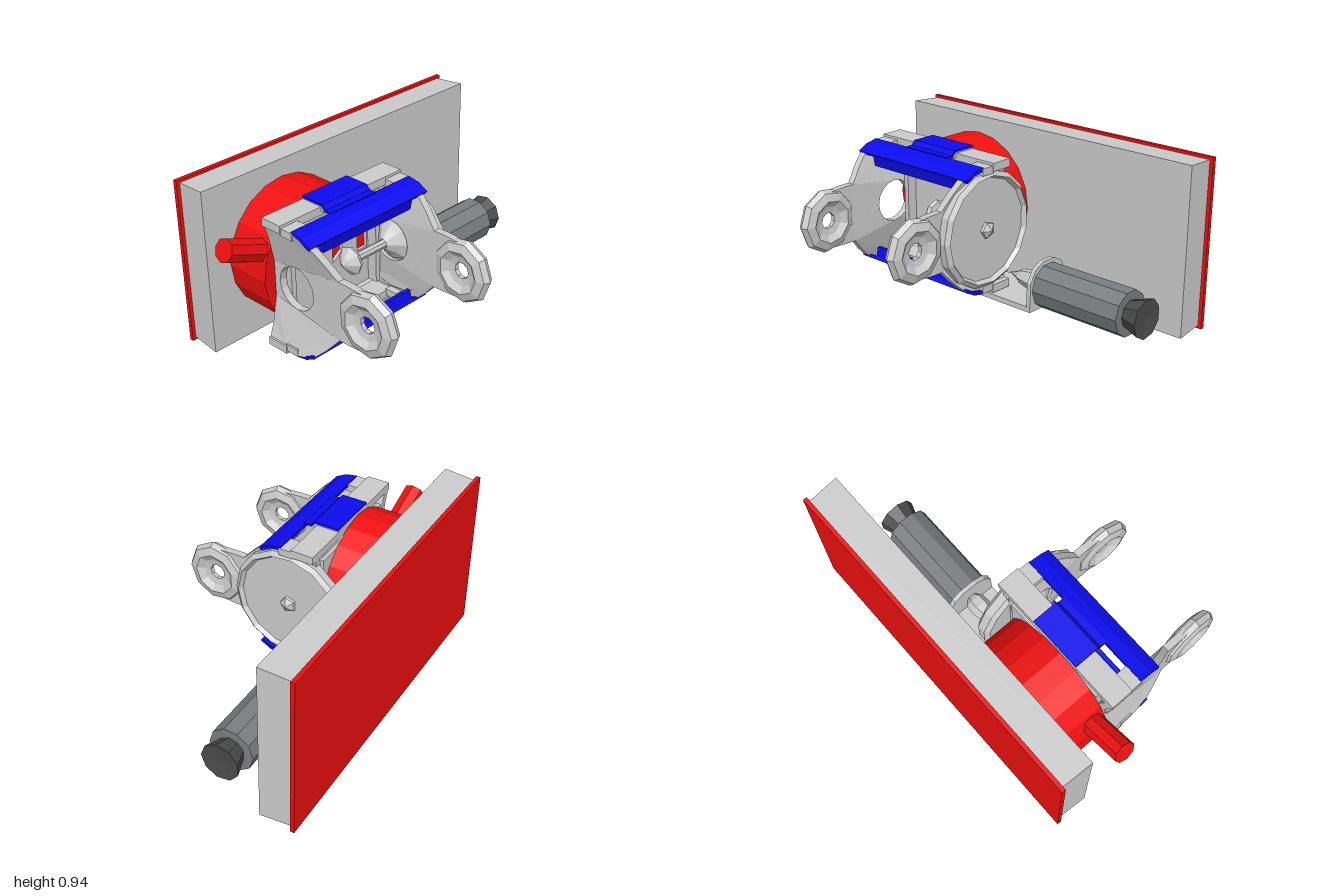
import * as THREE from 'three';

const material = (color) => new THREE.MeshStandardMaterial({ color, flatShading: true, side: THREE.DoubleSide });

export function createModel() {
  const model = new THREE.Group();
  const grey = material(0xcccccc), red = material(0xf01010), blue = material(0x0c0cf0);
  const dark = material(0x7a7e7e), darker = material(0x4c4c4c);
  const midY = 0.475, midX = -0.375;

  const add = (name, geometry, mat, x = 0, y = 0, z = 0, parent = model) => {
    const mesh = new THREE.Mesh(geometry, mat);
    mesh.name = name;
    mesh.position.set(x, y, z);
    parent.add(mesh);
    return mesh;
  };
  // Box given by its limits on each axis
  const box = (name, mat, [x0, x1], [y0, y1], [z0, z1], parent = model) =>
    add(name, new THREE.BoxGeometry(x1 - x0, y1 - y0, z1 - z0), mat,
      (x0 + x1) / 2, (y0 + y1) / 2, (z0 + z1) / 2, parent);
  const shapeOf = (points) => new THREE.Shape(points.map(([a, b]) => new THREE.Vector2(a, b)));
  // Outline in (z, y), extruded along x from x0 to x1
  const extrudeX = (shape, x0, x1) => {
    const g = new THREE.ExtrudeGeometry(shape, { depth: x1 - x0, bevelEnabled: false, curveSegments: 8 });
    return g.rotateY(-Math.PI / 2).translate(x1, 0, 0);
  };
  // Profile of (radius, x) turned around the x axis
  const latheX = (points, sides) =>
    new THREE.LatheGeometry(points.map(([r, x]) => new THREE.Vector2(r, x)), sides).rotateZ(-Math.PI / 2);

  // Back board, and a slab that narrows slightly towards it
  box('backBoard', red, [-0.95, 1.0], [0, 0.94], [-0.64, -0.617]);
  const slab = box('slab', grey, [-0.94, 0.99], [0.005, 0.937], [-0.617, -0.44]).geometry;
  const corner = slab.attributes.position;
  for (let i = 0; i < corner.count; i++)
    if (corner.getZ(i) < 0) corner.setXY(i, corner.getX(i) * 0.99, corner.getY(i) * 0.975);

  // Turntable drum with its grey face plate, open in the middle
  add('drum', new THREE.CylinderGeometry(0.37, 0.37, 0.26, 20).rotateX(Math.PI / 2), red, -0.425, 0.471, -0.31);
  const face = shapeOf([[-0.69, 0.19], [-0.06, 0.19], [-0.06, 0.76], [-0.69, 0.76]]);
  for (const hole of [
    [[-0.35, 0.4], [-0.28, 0.45], [-0.28, 0.54], [-0.35, 0.55]],
    [[-0.17, 0.4], [-0.1, 0.4], [-0.1, 0.55], [-0.17, 0.54]],
    [[-0.27, 0.57], [-0.21, 0.63], [-0.24, 0.63]],
  ]) face.holes.push(shapeOf(hole));
  add('facePlate', new THREE.ExtrudeGeometry(face, { depth: 0.02, bevelEnabled: false }), grey, 0, 0, -0.18);

  // Lever stub on the right
  const lever = add('lever', new THREE.CylinderGeometry(0.063, 0.063, 0.25, 8), red, -0.86, 0.657, -0.25);
  lever.rotation.z = Math.PI / 2 - 0.38;

  // Rails above and below the frame: the lower set is the upper one turned over
  for (const turn of [0, Math.PI]) {
    const rail = new THREE.Group();
    rail.name = turn ? 'lowerRail' : 'upperRail';
    rail.position.set(midX, midY, 0);
    rail.rotation.z = turn;
    model.add(rail);
    box('railBar', grey, [-0.42, 0.42], [0.32, 0.365], [-0.175, -0.045], rail);
    box('railBlock', grey, [-0.15, 0.15], [0.34, 0.376], [-0.175, -0.025], rail);
    for (const side of [-1, 1])
      box('railEnd', grey, [side * 0.36 - 0.055, side * 0.36 + 0.055], [0.31, 0.35], [-0.05, 0.03], rail);
    const cap = shapeOf([[-0.175, 0.375], [-0.03, 0.375], [-0.01, 0.352], [0.03, 0.35],
      [0.03, 0.34], [-0.015, 0.34], [-0.035, 0.365], [-0.175, 0.365]]);
    add('railCap', extrudeX(cap, -0.155, 0.155), blue, 0, 0.008, 0, rail);
    const guard = shapeOf([[0.02, 0.355], [0.09, 0.342], [0.15, 0.31], [0.14, 0.295], [0.08, 0.326], [0.02, 0.335]]);
    add('guard', extrudeX(guard, -0.41, 0.41), blue, 0, 0, 0, rail);
    const lip = shapeOf([[0.02, 0.335], [0.14, 0.295], [0.13, 0.24], [0.11, 0.24]]);
    add('guardLip', extrudeX(lip, -0.305, 0.305), blue, 0, 0, 0, rail);
  }

  // Side plates, each ending in a ringed ear at the front
  const upperEdge = [[-0.175, 0.1], [-0.175, 0.24], [-0.175, 0.32], [-0.05, 0.34], [0.03, 0.345], [0.14, 0.31],
    [0.21, 0.245], [0.28, 0.165], [0.34, 0.165], [0.43, 0.16], [0.37, 0.07]];
  const outline = [...upperEdge, ...upperEdge.map(([z, y]) => [z, -y]).reverse()];
  const earProfile = [[0.045, -0.012], [0.085, -0.02], [0.12, -0.045], [0.165, -0.03], [0.182, 0],
    [0.165, 0.03], [0.12, 0.045], [0.085, 0.02], [0.045, 0.012], [0.045, -0.012]];
  for (const side of [-1, 1]) {
    const plate = new THREE.Group();
    plate.name = side < 0 ? 'rightSide' : 'leftSide';
    plate.position.set(midX, midY, 0);
    model.add(plate);
    const panel = shapeOf(outline);
    const opening = new THREE.Path();
    opening.absarc(-0.02, 0, 0.12, 0, Math.PI * 2);
    panel.holes.push(opening);
    const geometry = extrudeX(panel, -0.02, 0.02);
    // Flare the upper and lower edges outwards, less on the wheel side
    const p = geometry.attributes.position;
    const flare = side < 0 ? 0.06 : 0.035;
    for (let i = 0; i < p.count; i++) {
      const t = Math.min(1, Math.max(0, (Math.abs(p.getY(i)) - 0.15) / 0.19));
      p.setX(i, p.getX(i) + side * (0.335 + flare * t));
    }
    geometry.computeVertexNormals();
    add('sidePanel', geometry, grey, 0, 0, 0, plate);
    add('ear', latheX(earProfile, 9), grey, side * 0.338, 0, 0.46, plate).rotation.y = side * -0.03;
    // Inner strip beside the opening
    box('innerStrip', grey, [side * 0.3 - 0.015, side * 0.3 + 0.015], [-0.28, 0.28], [-0.17, -0.1], plate);
  }

  // Dished wheel with a hub and an axle
  const wheel = new THREE.Group();
  wheel.name = 'wheel';
  wheel.position.set(0, midY, -0.02);
  model.add(wheel);
  add('wheelDish', latheX([[0, -0.04], [0.3, -0.04], [0.325, -0.02], [0.325, 0.025], [0.3, 0.045], [0.285, 0.02], [0, 0.02]], 15),
    grey, 0, 0, 0, wheel);
  add('hub', latheX([[0.05, 0.01], [0.045, 0.035], [0, 0.06]], 5), grey, 0, 0, 0, wheel);
  add('axle', latheX([[0.025, -0.36], [0.025, 0]], 8), grey, 0, 0, 0, wheel);
  add('axleFlange', latheX([[0, -0.42], [0.035, -0.4], [0.08, -0.36], [0.07, -0.34], [0.025, -0.33]], 8), grey, 0, 0, 0, wheel);
  add('innerCone', latheX([[0.03, -0.12], [0.08, -0.07], [0.12, -0.04]], 8), grey, 0, 0, 0, wheel);
  add('looseNut', new THREE.OctahedronGeometry(0.035), grey, -0.48, 0.355, -0.13);

  // Motor bracket: base plate and arched upright
  box('bracketBase', grey, [-0.2, 0.305], [0.07, 0.1], [-0.34, -0.045]);
  const arch = shapeOf([[-0.34, 0.07], [-0.045, 0.07], [-0.05, 0.23], [-0.09, 0.3], [-0.15, 0.33],
    [-0.24, 0.33], [-0.3, 0.3], [-0.335, 0.23]]);
  add('bracketUpright', extrudeX(arch, 0.28, 0.305), grey);

  // Motor with pinion and end cap
  const motor = new THREE.Group();
  motor.name = 'motor';
  motor.position.set(0, 0.187, -0.19);
  model.add(motor);
  add('motorBody', latheX([[0, 0.3], [0.127, 0.3], [0.127, 0.845], [0, 0.845]], 10), dark, 0, 0, 0, motor);
  add('motorCap', latheX([[0.075, 0.84], [0.085, 0.87], [0.11, 0.945], [0, 0.935]], 9), darker, 0, 0, 0, motor);
  add('pinion', latheX([[0, 0.04], [0.02, 0.09], [0.04, 0.12], [0.06, 0.2], [0.055, 0.25], [0.025, 0.29]], 6), grey, 0, 0, 0, motor);

  return model;
}
